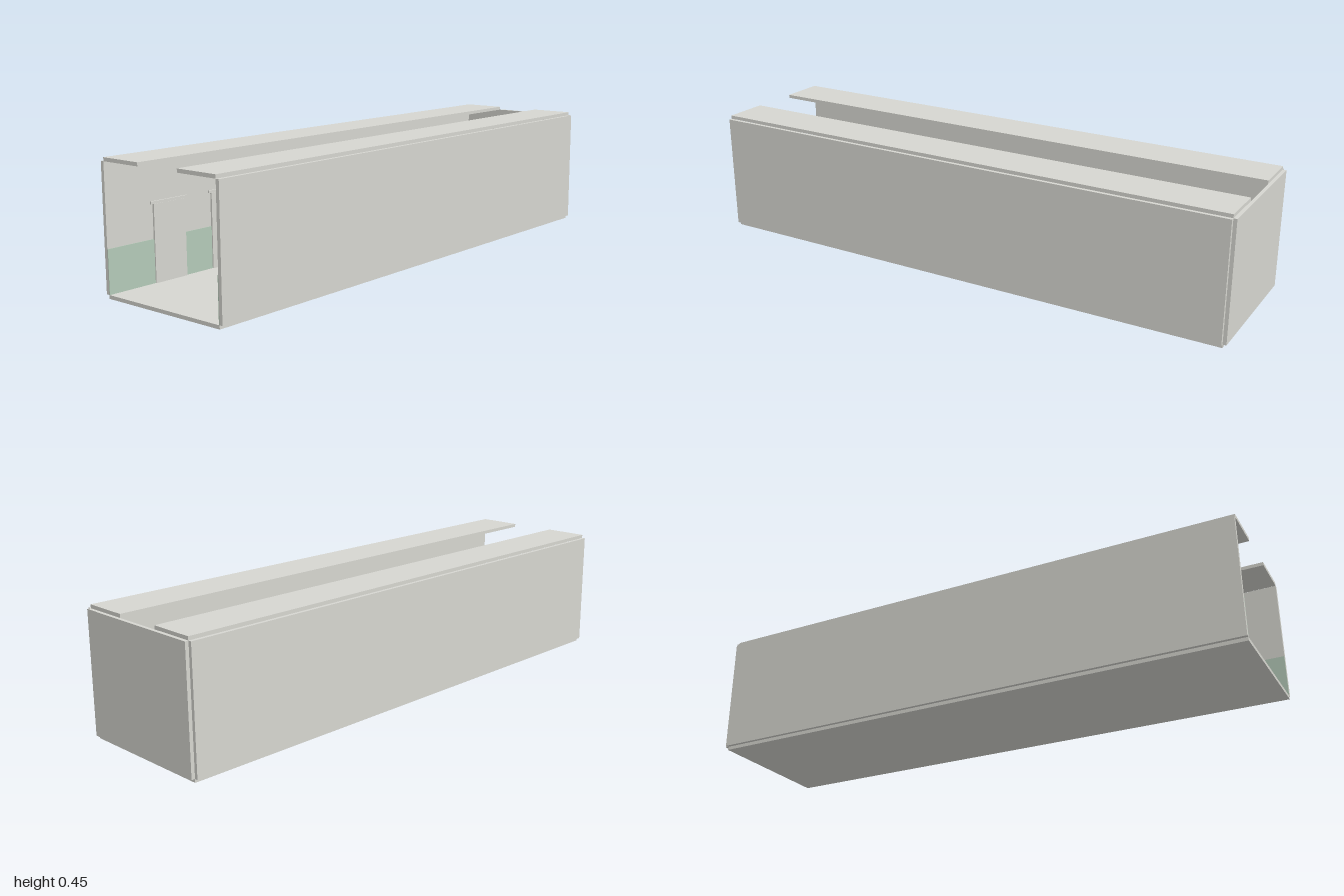
import * as THREE from 'three';

const plaster = new THREE.MeshStandardMaterial({ name: 'paleGrey', color: 0xd6d6d0 });
const sage = new THREE.MeshStandardMaterial({ name: 'sageGreen', color: 0xb4cab8 });
const leaf = new THREE.MeshStandardMaterial({ name: 'leafGreen', color: 0x6cb06c });

function add(parent, name, geometry, x, y, z, material = plaster) {
  const mesh = new THREE.Mesh(geometry, material);
  mesh.name = name;
  mesh.position.set(x, y, z);
  parent.add(mesh);
  return mesh;
}

// Box given by its lower and upper corner
function box(parent, name, [x0, y0, z0], [x1, y1, z1], material) {
  return add(parent, name, new THREE.BoxGeometry(x1 - x0, y1 - y0, z1 - z0),
    (x0 + x1) / 2, (y0 + y1) / 2, (z0 + z1) / 2, material);
}

const FLOOR = 0.0125, TOP = 0.436, BACK = -0.9875;

// Simple figure: leg cylinder, box torso, ball head
function figure(parent, name, x, z, drop = 0) {
  const g = new THREE.Group();
  g.name = name;
  const legs = 0.075 - drop;
  add(g, 'legs', new THREE.CylinderGeometry(0.0135, 0.0135, legs, 24), 0, FLOOR + legs / 2, 0);
  add(g, 'torso', new THREE.BoxGeometry(0.051, 0.051, 0.03), 0, 0.1125 - drop, 0);
  add(g, 'head', new THREE.SphereGeometry(0.032, 32, 20), 0, 0.18 - drop, 0);
  g.position.set(x, 0, z);
  parent.add(g);
}

export function createModel() {
  const model = new THREE.Group();
  model.name = 'corridor';

  // Shell
  box(model, 'floor', [-0.25, 0, BACK], [0.25, FLOOR, 1]);
  box(model, 'backWall', [-0.25, FLOOR, -1], [0.25, TOP, BACK]);
  for (const s of [-1, 1]) {
    const side = s > 0 ? 'left' : 'right';
    add(model, side + 'Wall', new THREE.BoxGeometry(0.0125, TOP - FLOOR, 1 - BACK),
      s * 0.2555, (TOP + FLOOR) / 2, (1 + BACK) / 2);
    add(model, side + 'CeilingStrip', new THREE.BoxGeometry(0.161, 0.0125, 1 - BACK),
      s * 0.1685, TOP + 0.00625, (1 + BACK) / 2);
    // Painted lower wall panel
    add(model, side + 'Wainscot', new THREE.BoxGeometry(0.0025, 0.147, 1 - BACK),
      s * 0.248, FLOOR + 0.0735, (1 + BACK) / 2, sage);
    // End doors
    add(model, side + 'EndDoor', new THREE.BoxGeometry(0.135, 0.286, 0.01),
      s * 0.1365, FLOOR + 0.143, BACK + 0.005);
  }

  // Row of side doors, each with a lintel
  for (let i = -3; i <= 3; i++) {
    const z = i * 0.25;
    box(model, 'sideDoor', [-0.2495, FLOOR, z - 0.066], [-0.2425, 0.275, z + 0.066]);
    box(model, 'doorLintel', [-0.2495, 0.275, z - 0.076], [-0.2435, 0.284, z + 0.076]);
  }

  // Bench against the left wall
  const bench = new THREE.Group();
  bench.name = 'bench';
  box(bench, 'seat', [0.142, 0.06, -0.15], [0.232, 0.077, 0.15]);
  box(bench, 'backrest', [0.22, 0.077, -0.15], [0.232, 0.138, 0.15]);
  for (const z of [-0.12, 0.12])
    box(bench, 'benchLeg', [0.172, FLOOR, z - 0.006], [0.222, 0.06, z + 0.006]);
  model.add(bench);

  // People
  figure(model, 'walkingFigure', -0.088, -0.31);
  figure(model, 'standingFigure', 0.023, 0.125);
  figure(model, 'seatedFigure', 0.192, 0, 0.009);

  // Potted plant
  const plant = new THREE.Group();
  plant.name = 'pottedPlant';
  add(plant, 'pot', new THREE.CylinderGeometry(0.0305, 0.0305, 0.075, 24), 0, FLOOR + 0.0375, 0);
  add(plant, 'foliage', new THREE.TorusKnotGeometry(0.0155, 0.0075, 64, 8), 0, 0.125, 0, leaf);
  plant.position.set(0.199, 0, 0.5);
  model.add(plant);

  return model;
}
